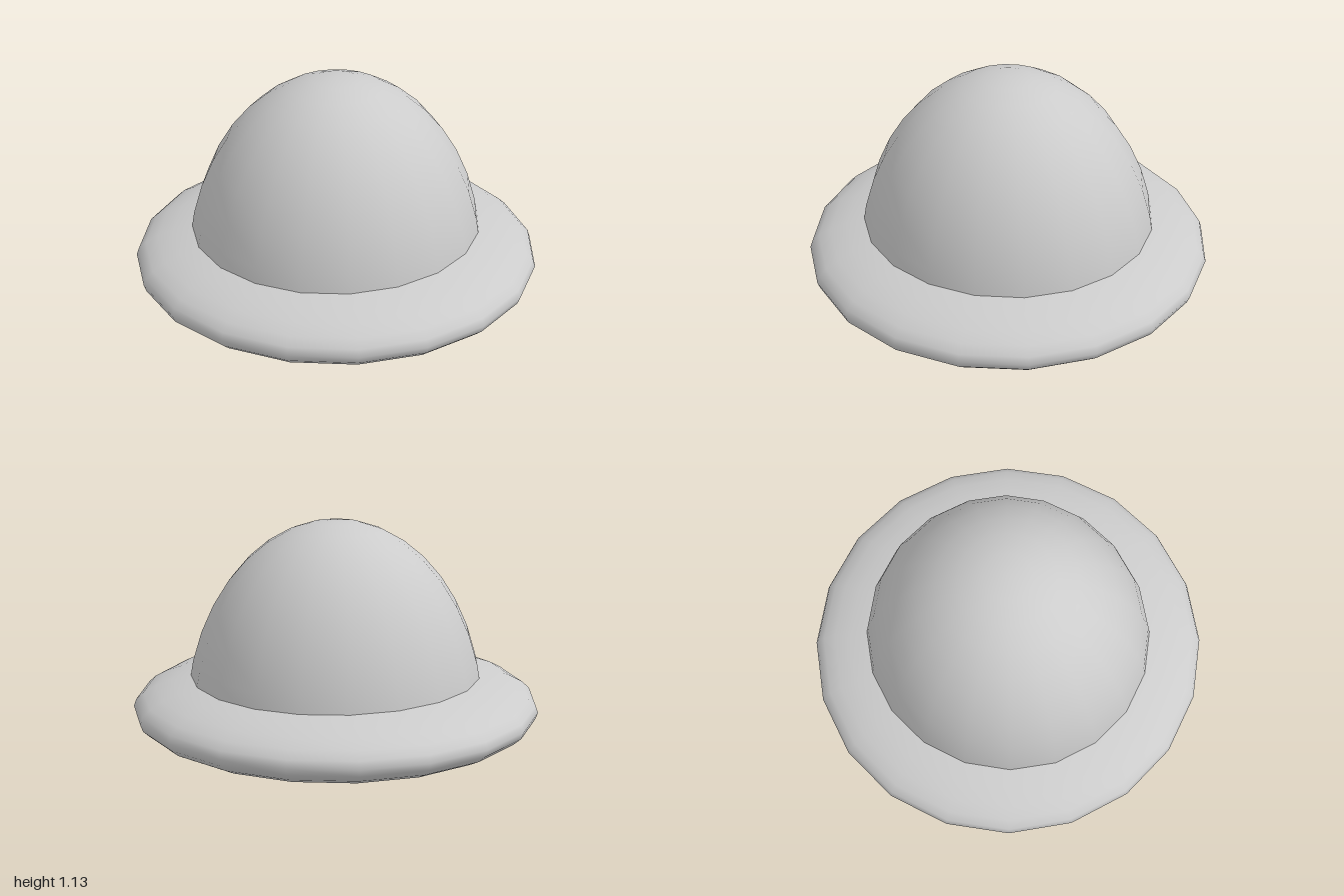
import * as THREE from 'three';

const SIDES = 20;

// Smooth 20-sided ellipsoid, optionally only its upper part
function ellipsoid(name, radii, centreY, rings = SIDES, sweep = Math.PI) {
  const geometry = new THREE.SphereGeometry(1, SIDES, rings, 0, Math.PI * 2, 0, sweep);
  geometry.scale(...radii);
  const material = new THREE.MeshStandardMaterial({ color: 0xcccccc });
  const mesh = new THREE.Mesh(geometry, material);
  mesh.name = name;
  mesh.position.y = centreY;
  return mesh;
}

export function createModel() {
  const hat = new THREE.Group();
  hat.name = 'hat';

  // Flattened, closed brim
  hat.add(ellipsoid('brim', [1, 0.22, 0.997], 0.22));

  // Tall crown, its open lower edge sunk into the brim
  hat.add(ellipsoid('crown', [0.735, 0.99, 0.747], 0.138, SIDES / 2, Math.PI / 2));

  return hat;
}
